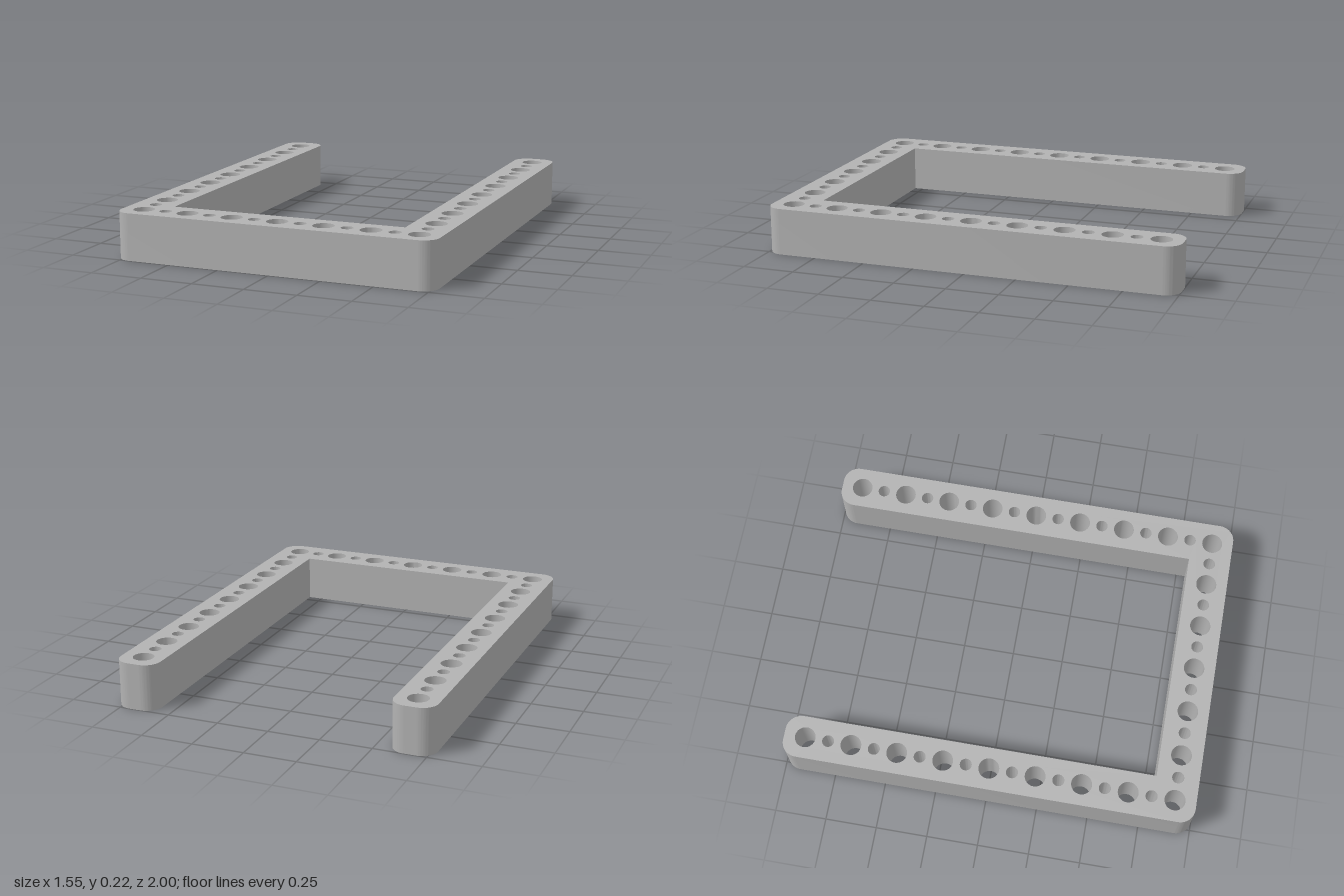
import * as THREE from 'three';
import { toCreasedNormals } from 'three/addons/utils/BufferGeometryUtils.js';

export function createModel() {
  const group = new THREE.Group();
  group.name = 'perforatedFrame';
  const grey = new THREE.MeshStandardMaterial({ color: 0xb2b2b2 });
  grey.name = 'grey';

  const W = 0.776, L = 1, H = 0.224; // half width, half length, height
  const bar = 0.206, R = 0.075; // bar width, outer corner radius
  const pitch = 0.2243, row = 3 * pitch, end = 4 * pitch;
  const ix = W - bar, iy = -L + bar;

  // U-shaped outline; shape y is -z, so the cross bar lies at the front
  const outline = new THREE.Shape();
  const corner = (x, y, start) => outline.absarc(x, y, R, start, start + Math.PI / 2, false);
  corner(-W + R, -L + R, Math.PI);
  corner(W - R, -L + R, -Math.PI / 2);
  corner(W - R, L - R, 0);
  corner(ix + R, L - R, Math.PI / 2);
  outline.lineTo(ix, iy);
  outline.lineTo(-ix, iy);
  corner(-ix - R, L - R, 0);
  corner(-W + R, L - R, Math.PI / 2);
  outline.closePath();

  // Alternating large and small through holes
  const hole = (x, y, i) => {
    const path = new THREE.Path();
    path.absarc(x, y, i % 2 ? 0.029 : 0.05, 0, Math.PI * 2, true);
    outline.holes.push(path);
  };
  for (const side of [-1, 1]) {
    for (let i = 0; i <= 16; i++) hole(side * row, -end + (i * pitch) / 2, i);
  }
  for (let i = 1; i < 12; i++) hole(-row + (i * pitch) / 2, -end, i);

  const solid = new THREE.ExtrudeGeometry(outline, { depth: H, bevelEnabled: false, curveSegments: 16 });
  solid.rotateX(-Math.PI / 2);
  const frame = new THREE.Mesh(toCreasedNormals(solid, 0.6), grey);
  frame.name = 'frame';
  group.add(frame);
  return group;
}
